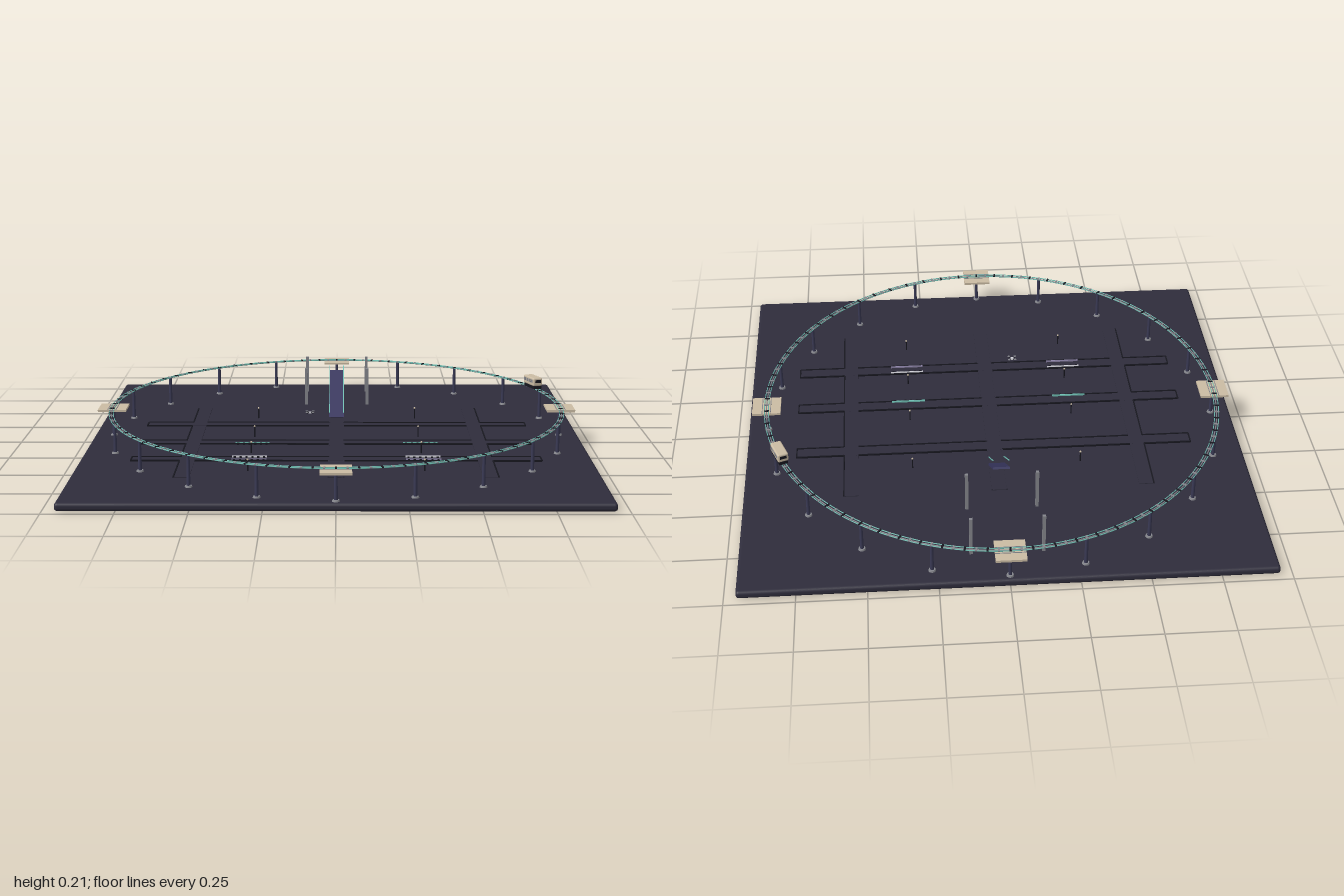
import * as THREE from 'three';
import { RoundedBoxGeometry } from 'three/addons/geometries/RoundedBoxGeometry.js';

export function createModel() {
  const model = new THREE.Group();
  model.name = 'cityBlockWithElevatedRing';

  const mat = (name, color) => {
    const m = new THREE.MeshStandardMaterial({ color });
    m.name = name;
    return m;
  };
  const ground = mat('groundSlate', 0x2f2d3c);
  const dark = mat('darkTrim', 0x17171f);
  const steel = mat('steel', 0x85868c);
  const pillarBlue = mat('pillarBlue', 0x3a3a55);
  const indigo = mat('indigo', 0x38365f);
  const cream = mat('cream', 0xcbbca4);
  const teal = mat('teal', 0x6fc0b4);
  const pale = mat('paleWhite', 0xd5d5dc);
  const lilac = mat('lilac', 0x8d84a8);

  const add = (name, geo, material, x = 0, y = 0, z = 0, parent = model) => {
    const m = new THREE.Mesh(geo, material);
    m.name = name;
    m.position.set(x, y, z);
    parent.add(m);
    return m;
  };
  const box = (name, material, w, h, d, x, y, z, parent) =>
    add(name, new THREE.BoxGeometry(w, h, d), material, x, y, z, parent);
  const group = (name, x = 0, y = 0, z = 0) => {
    const g = new THREE.Group();
    g.name = name;
    g.position.set(x, y, z);
    model.add(g);
    return g;
  };

  const TOP = 0.03, RX = 0.88, RZ = 0.945;
  const onRing = (a) => [RX * Math.cos(a), RZ * Math.sin(a)];
  const heading = (a) => Math.atan2(-RX * Math.sin(a), RZ * Math.cos(a));

  // Ground slab
  add('groundSlab', new RoundedBoxGeometry(1.915, TOP, 1.945, 3, 0.012), ground, 0, TOP / 2, 0);

  // Streets: raised strips, with kerbs broken at every crossing
  const streets = group('streets');
  const xs = [-0.555, 0, 0.555], zs = [-0.172, 0.128, 0.385];
  const half = 0.028, kerb = 0.005, kerbY = TOP + 0.003;
  const spans = (min, max, cuts) => {
    const e = [min, ...cuts.flatMap((c) => [c - half, c + half]), max];
    return [0, 2, 4, 6].map((i) => [e[i], e[i + 1]]);
  };
  for (const z of zs) {
    box('crossStreet', ground, 1.53, 0.004, half * 2, 0, TOP + 0.001, z, streets);
    for (const s of [-1, 1]) {
      box('streetEnd', dark, kerb, 0.006, half * 2, s * 0.765, kerbY, z, streets);
      for (const [a, b] of spans(-0.765, 0.765, xs))
        box('kerb', dark, b - a, 0.006, kerb, (a + b) / 2, kerbY, z + s * half, streets);
    }
  }
  for (const x of xs) {
    box('longStreet', ground, half * 2, 0.0036, 1.1, x, TOP + 0.001, 0.095, streets);
    for (const s of x === 0 ? [-1, 1] : [Math.sign(x)])
      for (const [a, b] of spans(-0.455, 0.645, zs))
        box('kerb', x === 0 ? ground : dark, kerb, 0.006, b - a, x + s * half, kerbY, (a + b) / 2, streets);
  }

  // Light strips beside the streets, with small dark markers
  for (const s of [-1, 1]) {
    for (const [z, m] of [[0.15, teal], [0.363, pale], [0.405, lilac]]) {
      const strip = group('lightStrip', s * 0.325, TOP, z);
      box('strip', m, 0.132, 0.008, 0.005, 0, 0.005, 0, strip);
      for (let i = 0; i < 6; i++)
        box('marker', dark, 0.008, 0.008, 0.006, -0.055 + i * 0.022, 0.004, 0.006, strip);
    }
    // Street lamps
    for (const z of [-0.292, 0.03, 0.287, 0.547]) {
      const lamp = group('streetLamp', s * 0.322, TOP, z);
      add('lampPost', new THREE.CylinderGeometry(0.0025, 0.003, 0.042, 6), dark, 0, 0.021, 0, lamp);
      add('lampHead', new THREE.SphereGeometry(0.004, 8, 6), cream, 0, 0.043, 0, lamp);
    }
    // Tall masts behind the ramp
    for (const z of [-0.557, -0.815])
      box('mast', steel, 0.012, 0.156, 0.012, s * 0.13, TOP + 0.078, z);
  }

  // Sloping ramp with handrails
  const rise = 0.152, run = 0.23, slope = Math.hypot(rise, run);
  const ramp = group('ramp', 0, TOP + 0.078, -0.408);
  ramp.rotation.x = Math.atan2(rise, run);
  box('rampDeck', indigo, 0.062, 0.008, slope, 0, 0, 0, ramp);
  for (const s of [-1, 1])
    box('handrail', teal, 0.003, 0.003, slope, s * 0.029, 0.028, 0, ramp);

  // Elevated ring track
  const trackY = 0.145;
  const ring = (name, material, offset, r, y) => {
    const g = new THREE.TorusGeometry(1, r, 6, 180);
    g.rotateX(Math.PI / 2);
    g.scale(RX + offset, 1, RZ + offset);
    add(name, g, material, 0, y, 0);
  };
  ring('innerRail', teal, -0.008, 0.002, trackY + 0.002);
  ring('outerRail', teal, 0.008, 0.002, trackY + 0.002);
  ring('trackBeam', steel, 0, 0.0025, trackY);
  const tieGeo = new THREE.BoxGeometry(0.02, 0.003, 0.007);
  for (let i = 0; i < 140; i++) {
    const a = (i / 140) * Math.PI * 2, [x, z] = onRing(a);
    add('trackTie', tieGeo, i % 2 ? dark : steel, x, trackY + 0.003, z).rotation.y = heading(a);
  }

  // Pillars on small footings
  const pillarGeo = new THREE.CylinderGeometry(0.006, 0.007, 0.113, 10);
  const footGeo = new THREE.CylinderGeometry(0.012, 0.014, 0.006, 12);
  for (let i = 0; i < 20; i++) {
    const [x, z] = onRing((i * Math.PI) / 10);
    add('pillar', pillarGeo, pillarBlue, x, TOP + 0.0565, z);
    add('pillarFoot', footGeo, steel, x, TOP + 0.003, z);
  }

  // Four station platforms
  for (let i = 0; i < 4; i++) {
    const a = (i * Math.PI) / 2, [x, z] = onRing(a);
    const station = group('station', x, 0.14, z);
    station.rotation.y = heading(a);
    box('platform', cream, 0.11, 0.009, 0.11, 0, 0, 0, station);
    for (const s of [-1, 1])
      box('platformEdge', steel, 0.003, 0.002, 0.11, s * 0.016, 0.005, 0, station);
  }

  // Rail car on the ring
  const carAngle = -0.385, [cx, cz] = onRing(carAngle);
  const car = group('railCar', cx, trackY, cz);
  car.rotation.y = heading(carAngle);
  box('carUnderframe', dark, 0.034, 0.012, 0.088, 0, 0.01, 0, car);
  add('carBody', new RoundedBoxGeometry(0.042, 0.034, 0.092, 2, 0.006), cream, 0, 0.033, 0, car);
  for (const s of [-1, 1]) {
    for (let i = 0; i < 4; i++)
      box('carWindow', steel, 0.002, 0.012, 0.014, s * 0.021, 0.036, -0.03 + i * 0.02, car);
    box('carWindscreen', dark, 0.026, 0.012, 0.002, 0, 0.036, s * 0.046, car);
  }

  // Hovering drone
  const drone = group('drone', -0.1, 0.174, 0.225);
  box('droneBody', pale, 0.012, 0.006, 0.012, 0, 0, 0, drone);
  for (const s of [-1, 1]) {
    box('droneArm', dark, 0.034, 0.002, 0.003, 0, 0, 0, drone).rotation.y = s * Math.PI / 4;
    for (const t of [-1, 1])
      add('droneRotor', new THREE.CylinderGeometry(0.005, 0.005, 0.002, 10), steel, s * 0.012, 0.003, t * 0.012, drone);
  }

  return model;
}
